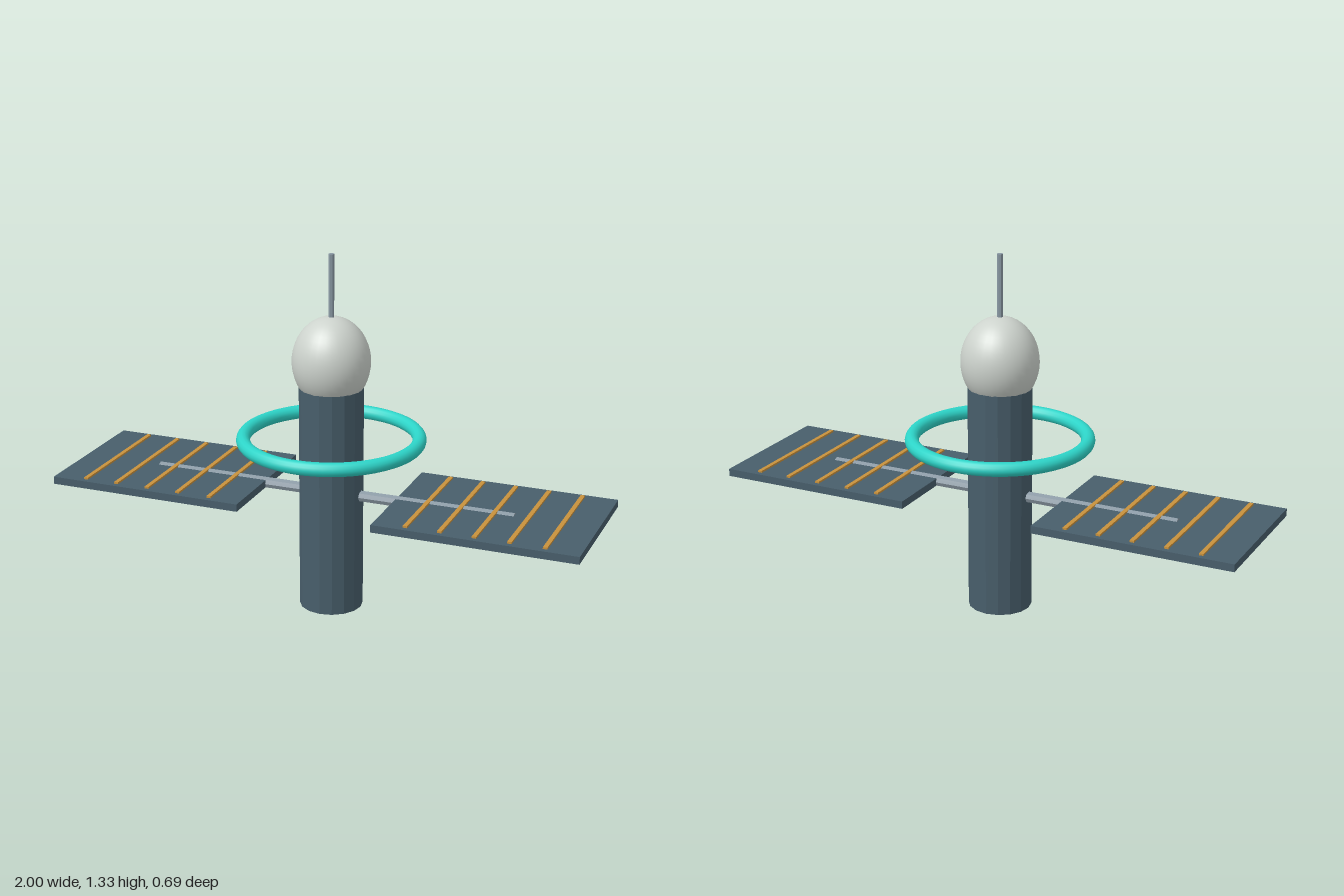
import * as THREE from 'three';

const mat = (name, color, flatShading = false) => {
  const m = new THREE.MeshStandardMaterial({ color, flatShading });
  m.name = name;
  return m;
};

export function createModel() {
  const group = new THREE.Group();
  const slate = mat('slate', 0x485e6b, true);
  const steel = mat('steel', 0x8a99a4, true);
  const shell = mat('pale grey', 0xcdd3cd);
  const teal = mat('teal', 0x2dd4c8);
  const amber = mat('amber', 0xc8913c, true);

  const add = (name, geometry, material, x, y, z, parent = group) => {
    const mesh = new THREE.Mesh(geometry, material);
    mesh.name = name;
    mesh.position.set(x, y, z);
    parent.add(mesh);
    return mesh;
  };

  // Central hull with egg-shaped dome and antenna
  add('hull', new THREE.CylinderGeometry(0.117, 0.117, 0.845, 16), slate, 0, 0.4225, 0);
  add('dome', new THREE.SphereGeometry(0.142, 32, 24), shell, 0, 0.94, 0).scale.y = 1.165;
  add('antenna', new THREE.CylinderGeometry(0.011, 0.011, 0.25, 8), steel, 0, 1.208, 0);

  // Floating ring around the hull
  add('ring', new THREE.TorusGeometry(0.319, 0.0255, 14, 64), teal, 0, 0.648, 0).rotation.x = Math.PI / 2;

  // Strut that carries both solar wings
  add('strut', new THREE.CylinderGeometry(0.021, 0.021, 1.39, 8), steel, 0, 0.441, 0).rotation.z = Math.PI / 2;

  for (const side of [-1, 1]) {
    const wing = new THREE.Group();
    wing.name = side > 0 ? 'leftSolarWing' : 'rightSolarWing';
    group.add(wing);
    add('panel', new THREE.BoxGeometry(0.745, 0.028, 0.55), slate, side * 0.6275, 0.441, 0, wing);
    // Thin cell dividers on the upper face
    for (let i = 0; i < 5; i++) {
      add('divider', new THREE.BoxGeometry(0.016, 0.008, 0.51), amber, side * (0.375 + i * 0.125), 0.458, 0, wing);
    }
  }
  return group;
}
